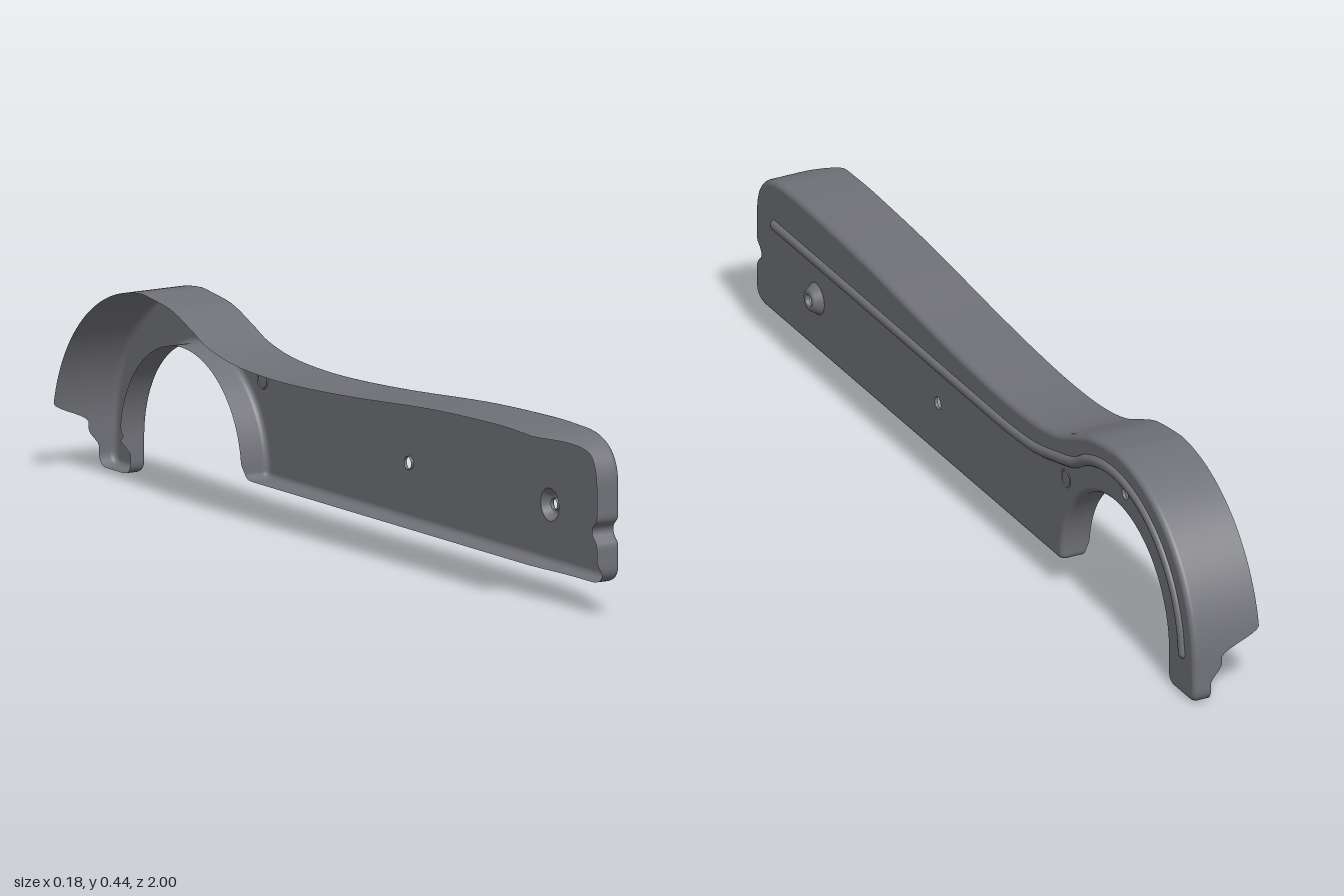
import * as THREE from 'three';

// Working frame: X = toward the rear, Y = up, Z = outward from the side panel.
const FACE = 0.07, FILLET = 0.013;
const ARCH = { x: 0.635, y: 0.08, outer: 0.363, inner: 0.24 };
const V = (x, y) => new THREE.Vector2(x, y);
const step = THREE.MathUtils.smoothstep;
const mix = THREE.MathUtils.lerp;

// Side silhouette, running clockwise from the front top corner
function outline() {
  const s = new THREE.Path();
  s.moveTo(-0.86, 0.391);
  s.splineThru([V(-0.75, 0.392), V(-0.5, 0.382), V(-0.2, 0.358), V(0, 0.346), V(0.15, 0.343),
    V(0.28, 0.35), V(0.38, 0.369), V(0.45, 0.398), V(0.53, 0.428), V(ARCH.x, ARCH.y + ARCH.outer)]);
  s.absarc(ARCH.x, ARCH.y, ARCH.outer, Math.PI / 2, 0, true);
  s.lineTo(1, 0.03);
  s.quadraticCurveTo(1, 0, 0.97, 0);
  s.lineTo(0.905, 0);
  s.quadraticCurveTo(0.875, 0, 0.875, 0.03);
  s.absarc(ARCH.x, ARCH.y, ARCH.inner, 0, Math.PI, false);
  s.quadraticCurveTo(0.393, 0.07, 0.37, 0.07);
  s.lineTo(-0.95, 0.07);
  s.quadraticCurveTo(-1, 0.07, -1, 0.11);
  s.lineTo(-1, 0.15);
  s.bezierCurveTo(-1, 0.17, -0.98, 0.17, -0.98, 0.185);
  s.bezierCurveTo(-0.98, 0.2, -1, 0.2, -1, 0.22);
  s.lineTo(-1, 0.28);
  s.bezierCurveTo(-1, 0.35, -0.96, 0.391, -0.86, 0.391);
  const pts = s.getSpacedPoints(700);
  pts.pop();
  return pts;
}

// How far inward the flange reaches at a point of the silhouette
function rimDepth(p) {
  const r = Math.hypot(p.x - ARCH.x, p.y - ARCH.y);
  if (p.x > 0.8 && p.y < 0.085) return mix(0.03, 0.002, step(p.y, 0.04, 0.085));
  if (p.x > 0.45 && r > 0.3) return mix(0.002, -0.09, step(p.y, 0.098, 0.15));
  if (p.x > 0.38 && r < 0.3) return mix(0.015, 0.003, step(p.y, 0.07, 0.11));
  if (p.y > 0.25) return mix(0.01, -0.09, step(p.x, -0.985, -0.89));
  if (p.x < -0.9) return mix(0.028, 0.01, step(p.y, 0.08, 0.125));
  return mix(0.028, 0.015, step(p.x, -0.9, -0.7));
}

// Rounded edge followed by the flange wall
function flangeGeometry(pts, normals) {
  const pos = [], nor = [], idx = [], n = pts.length, steps = 5;
  for (let k = 0; k <= steps + 1; k++) {
    const a = Math.min(k / steps, 1) * Math.PI / 2;
    pts.forEach((p, i) => {
      const m = normals[i], off = FILLET * (Math.sin(a) - 1);
      const z = k > steps ? rimDepth(p) : FACE - FILLET + FILLET * Math.cos(a);
      pos.push(p.x + m.x * off, p.y + m.y * off, z);
      nor.push(m.x * Math.sin(a), m.y * Math.sin(a), Math.cos(a));
    });
  }
  for (let k = 0; k <= steps; k++) {
    for (let i = 0; i < n; i++) {
      const j = (i + 1) % n, a = k * n + i, b = k * n + j;
      idx.push(a, b, a + n, b, b + n, a + n);
    }
  }
  const g = new THREE.BufferGeometry();
  g.setAttribute('position', new THREE.Float32BufferAttribute(pos, 3));
  g.setAttribute('normal', new THREE.Float32BufferAttribute(nor, 3));
  g.setIndex(idx);
  return g;
}

export function createModel() {
  const grey = new THREE.MeshStandardMaterial({ color: 0x707177, side: THREE.DoubleSide });
  grey.name = 'satin grey';
  const guard = new THREE.Group();
  guard.name = 'guard';
  const add = (name, geometry, x = 0, y = 0, z = 0) => {
    const m = new THREE.Mesh(geometry, grey);
    m.name = name;
    m.position.set(x, y, z);
    guard.add(m);
    return m;
  };

  const pts = outline(), n = pts.length;
  const normals = pts.map((p, i) => {
    const t = pts[(i + 1) % n].clone().sub(pts[(i + n - 1) % n]).normalize();
    return V(-t.y, t.x);
  });
  add('flange', flangeGeometry(pts, normals));

  // Side panel with its openings
  const boss = { x: -0.72, y: 0.195, r: 0.036 };
  const holes = [{ x: -0.168, y: 0.195, r: 0.014 }, { x: 0.685, y: 0.364, r: 0.014 }];
  const panel = new THREE.Shape(pts.map((p, i) => p.clone().addScaledVector(normals[i], -FILLET)));
  for (const h of [boss, ...holes]) {
    panel.holes.push(new THREE.Path().absarc(h.x, h.y, h.r, 0, Math.PI * 2, true));
  }
  add('sidePanel', new THREE.ShapeGeometry(panel, 16), 0, 0, FACE);

  // Short collars behind the bolt holes
  for (const h of holes) {
    const collar = new THREE.CylinderGeometry(h.r, h.r, 0.007, 32, 1, true).rotateX(Math.PI / 2);
    add('boltHoleCollar', collar, h.x, h.y, FACE - 0.0035);
  }

  // Raised conical mount, hollow from behind
  const cone = new THREE.LatheGeometry([V(0.036, 0), V(0.033, 0.003), V(0.025, 0.016), V(0.021, 0.0195),
    V(0.014, 0.0195), V(0.013, 0.017), V(0.013, 0.01)], 40).rotateX(Math.PI / 2);
  add('raisedMount', cone, boss.x, boss.y, FACE);

  // Stiffening bead that runs along the panel and round the arch
  const path = [[-0.91, 0.284], [-0.6, 0.284], [-0.3, 0.283], [0, 0.282], [0.18, 0.283], [0.28, 0.291], [0.37, 0.311]]
    .map(([x, y]) => new THREE.Vector3(x, y, 0));
  for (let a = 125; a >= 4; a -= 11) {
    const t = THREE.MathUtils.degToRad(a);
    path.push(new THREE.Vector3(ARCH.x + 0.312 * Math.cos(t), ARCH.y + 0.312 * Math.sin(t), 0));
  }
  const flatten = (g) => {
    const p = g.attributes.position;
    for (let i = 0; i < p.count; i++) p.setZ(i, Math.max(p.getZ(i) * 0.7, 0.0008));
    return g;
  };
  const curve = new THREE.CatmullRomCurve3(path);
  add('bead', flatten(new THREE.TubeGeometry(curve, 160, 0.0125, 16)), 0, 0, FACE);
  for (const end of [path[0], path[path.length - 1]]) {
    add('beadEnd', flatten(new THREE.SphereGeometry(0.0125, 20, 16)), end.x, end.y, FACE);
  }

  // Small round locating mark ahead of the arch
  add('locatingRing', new THREE.TorusGeometry(0.019, 0.0022, 8, 36), 0.416, 0.279, FACE);

  guard.rotation.y = Math.PI / 2;
  const model = new THREE.Group();
  model.name = 'sideGuard';
  model.add(guard);
  return model;
}
